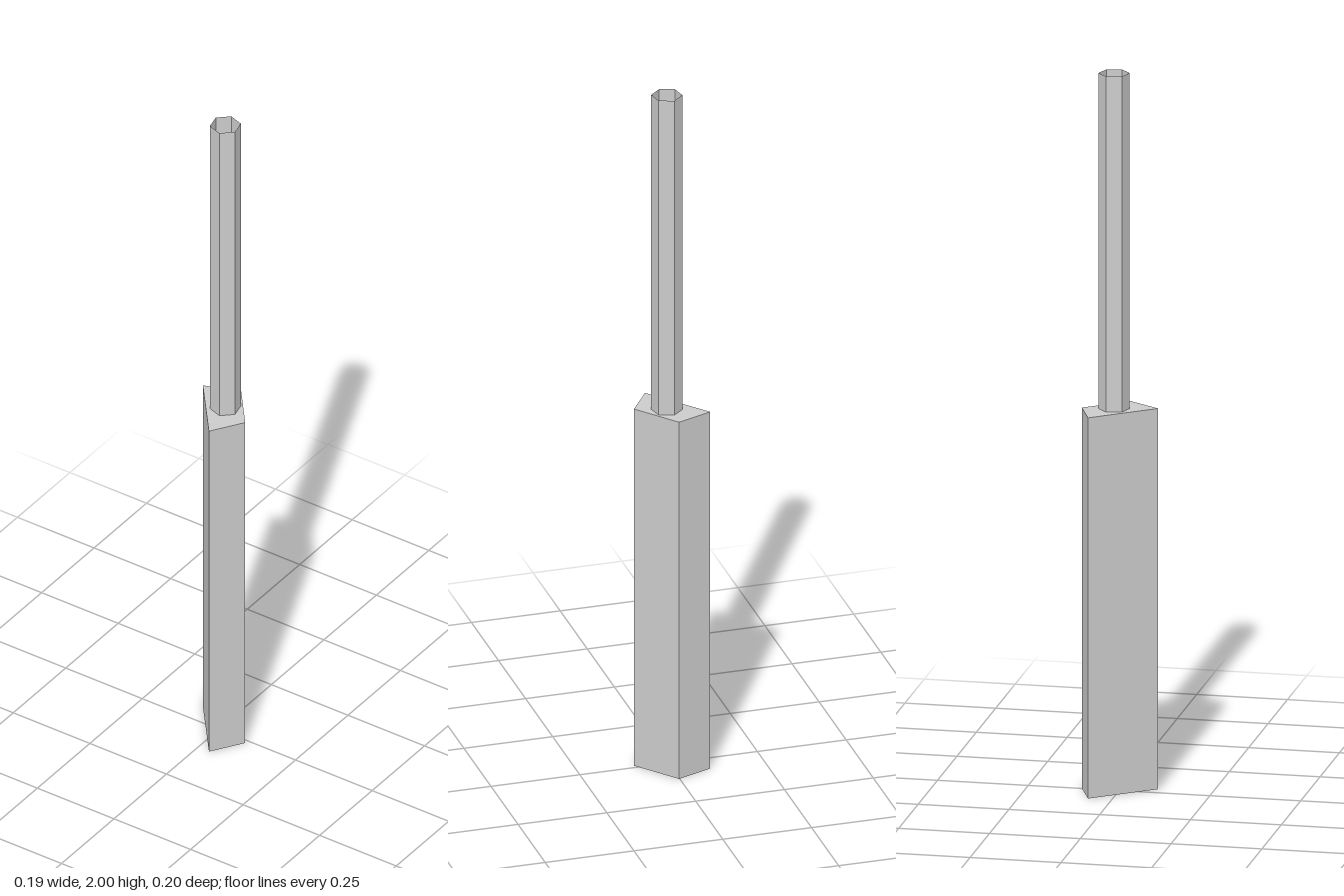
import * as THREE from 'three';

export function createModel() {
  const model = new THREE.Group();
  const material = new THREE.MeshStandardMaterial({
    color: 0xcccccc, flatShading: true, side: THREE.DoubleSide,
  });

  const bodyHeight = 1.063;
  const totalHeight = 2;

  // Solid lower body: an irregular four-sided prism, plan corners as (x, z)
  const corners = [[-0.097, -0.065], [0.036, 0.1], [0.094, 0.012], [0.002, -0.103]];
  const plan = new THREE.Shape(corners.map(([x, z]) => new THREE.Vector2(x, -z)));
  const bodyGeometry = new THREE.ExtrudeGeometry(plan, { depth: bodyHeight, bevelEnabled: false });
  bodyGeometry.rotateX(-Math.PI / 2);
  const body = new THREE.Mesh(bodyGeometry, material);
  body.name = 'lowerBody';
  model.add(body);

  // Open six-sided tube standing on the body
  const tubeHeight = totalHeight - bodyHeight;
  const tubeGeometry = new THREE.CylinderGeometry(
    0.042, 0.042, tubeHeight, 6, 1, true, THREE.MathUtils.degToRad(12));
  const tube = new THREE.Mesh(tubeGeometry, material);
  tube.name = 'upperTube';
  tube.position.set(0.01, bodyHeight + tubeHeight / 2, -0.016);
  model.add(tube);

  return model;
}
